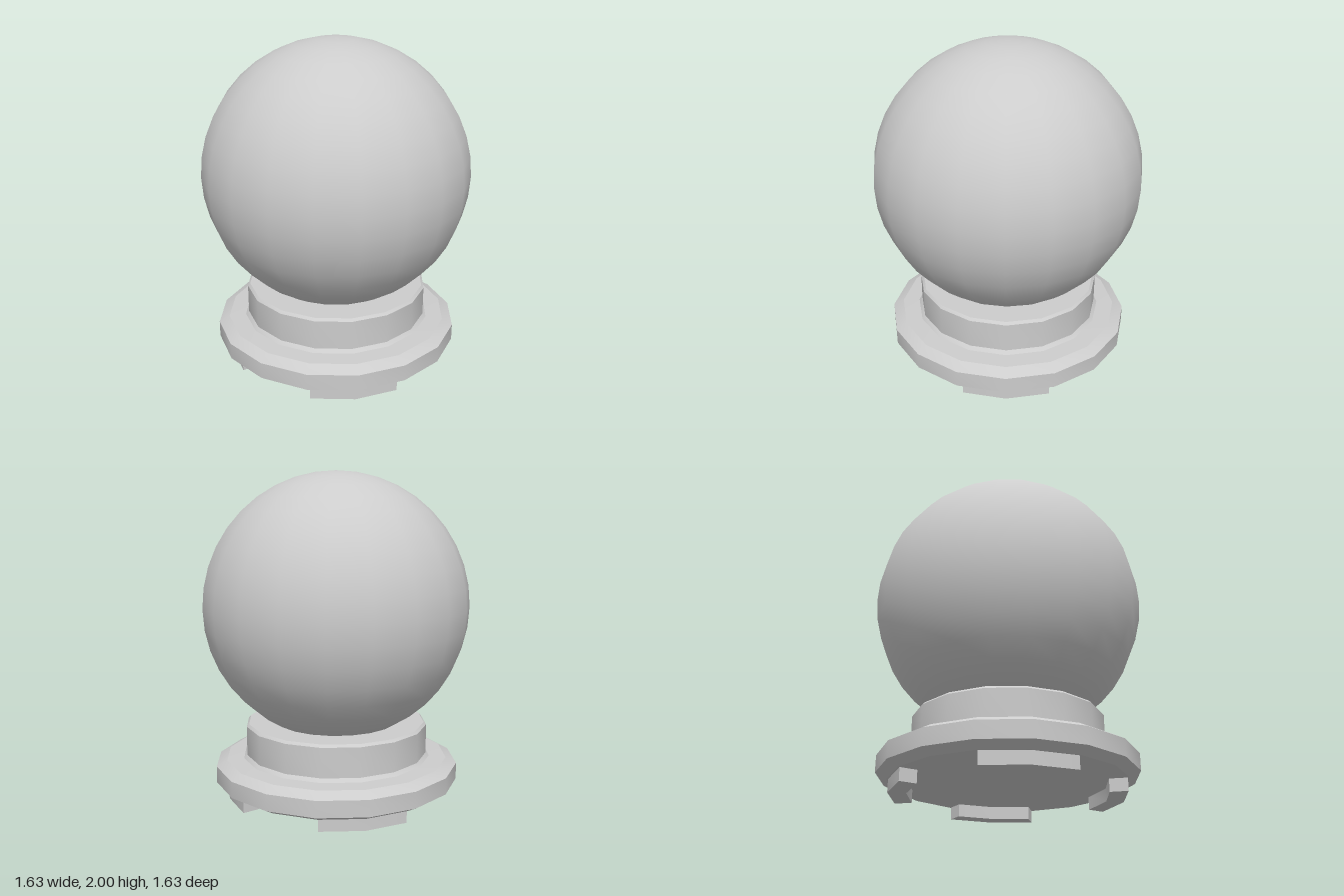
import * as THREE from 'three';
import { toCreasedNormals } from 'three/addons/utils/BufferGeometryUtils.js';

export function createModel() {
  const model = new THREE.Group();
  const grey = new THREE.MeshStandardMaterial({ color: 0xcccccc });
  grey.name = 'grey';

  function add(name, geometry) {
    const mesh = new THREE.Mesh(geometry, grey);
    mesh.name = name;
    model.add(mesh);
    return mesh;
  }

  // Revolved profile: smooth around, sharp at the bevels
  function turned(points, segments, start = 0, sweep = Math.PI * 2) {
    const profile = points.map(([r, y]) => new THREE.Vector2(r, y));
    return toCreasedNormals(new THREE.LatheGeometry(profile, segments, start, sweep), 0.45);
  }

  // Ball resting in the collar
  add('globe', new THREE.SphereGeometry(0.815, 20, 20)).position.y = 1.185;

  // Wide bevelled flange and upright collar
  add('base', turned([
    [0, 0.075], [0.69, 0.075], [0.755, 0.11], [0.755, 0.21], [0.69, 0.245],
    [0.585, 0.25], [0.565, 0.27], [0.565, 0.45], [0.55, 0.465], [0, 0.465],
  ], 16));

  // Four curved feet, each two facets long with closed ends
  const outer = 0.68, inner = 0.575, half = Math.PI / 8;
  const footShape = new THREE.Shape();
  const corners = [
    ...[-half, 0, half].map(a => [outer, a]),
    ...[half, 0, -half].map(a => [inner, a]),
  ];
  footShape.setFromPoints(corners.map(([r, a]) => new THREE.Vector2(r * Math.cos(a), r * Math.sin(a))));
  const footGeometry = toCreasedNormals(
    new THREE.ExtrudeGeometry(footShape, { depth: 0.08, bevelEnabled: false }).rotateX(-Math.PI / 2), 0.45);
  ['left', 'back', 'right', 'front'].forEach((side, i) => {
    add(side + 'Foot', footGeometry).rotation.y = i * Math.PI / 2;
  });

  return model;
}
